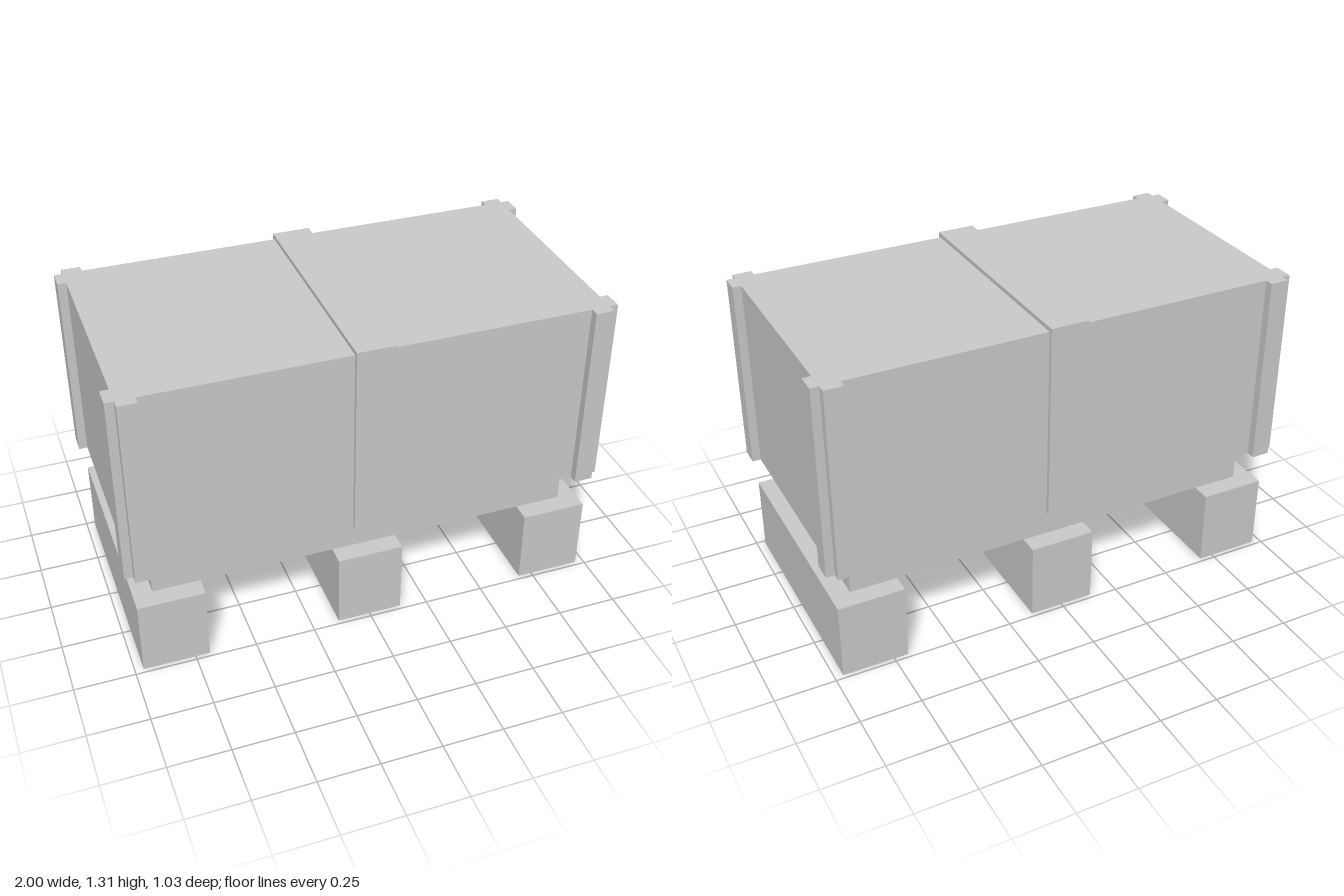
import * as THREE from 'three';

const material = new THREE.MeshStandardMaterial({ color: 0xcccccc, flatShading: true });

// Box given by its min and max corners
function block(name, [x0, y0, z0], [x1, y1, z1]) {
  const mesh = new THREE.Mesh(new THREE.BoxGeometry(x1 - x0, y1 - y0, z1 - z0), material);
  mesh.position.set((x0 + x1) / 2, (y0 + y1) / 2, (z0 + z1) / 2);
  mesh.name = name;
  return mesh;
}

export function createModel() {
  const group = new THREE.Group();
  group.name = 'crateOnSkids';

  const footTop = 0.323, bottom = 0.487, top = 1.29;
  const halfX = 0.965, halfZ = 0.482;

  // Three skids running front to back
  for (const x of [-0.828, 0, 0.828]) {
    group.add(block('skid', [x - 0.137, 0, -halfZ], [x + 0.137, footTop, halfZ]));
  }

  // Recessed base and main body
  group.add(block('base', [-0.886, footTop, -0.402], [0.886, bottom, 0.402]));
  group.add(block('body', [-halfX, bottom, -halfZ], [halfX, top, halfZ]));

  // Band over the middle: front, back and across the top
  const bandX = 0.078, bandZ = 0.498, bandTop = 1.308;
  const band = new THREE.Group();
  band.name = 'band';
  band.add(
    block('bandFront', [-bandX, bottom, halfZ], [bandX, top, bandZ]),
    block('bandBack', [-bandX, bottom, -bandZ], [bandX, top, -halfZ]),
    block('bandTop', [-bandX, top, -bandZ], [bandX, bandTop, bandZ]),
  );
  group.add(band);

  // Pairs of upright battens at each corner
  for (const sx of [-1, 1]) {
    for (const sz of [-1, 1]) {
      const corner = new THREE.Group();
      corner.name = 'cornerBattens';
      const batten = (name, xa, xb, za, zb) => {
        const [x0, x1] = [sx * xa, sx * xb].sort((a, b) => a - b);
        const [z0, z1] = [sz * za, sz * zb].sort((a, b) => a - b);
        corner.add(block(name, [x0, bottom, z0], [x1, top, z1]));
      };
      batten('endBatten', halfX, 1, 0.402, halfZ);
      batten('sideBatten', 0.888, halfX, halfZ, 0.517);
      group.add(corner);
    }
  }

  return group;
}
